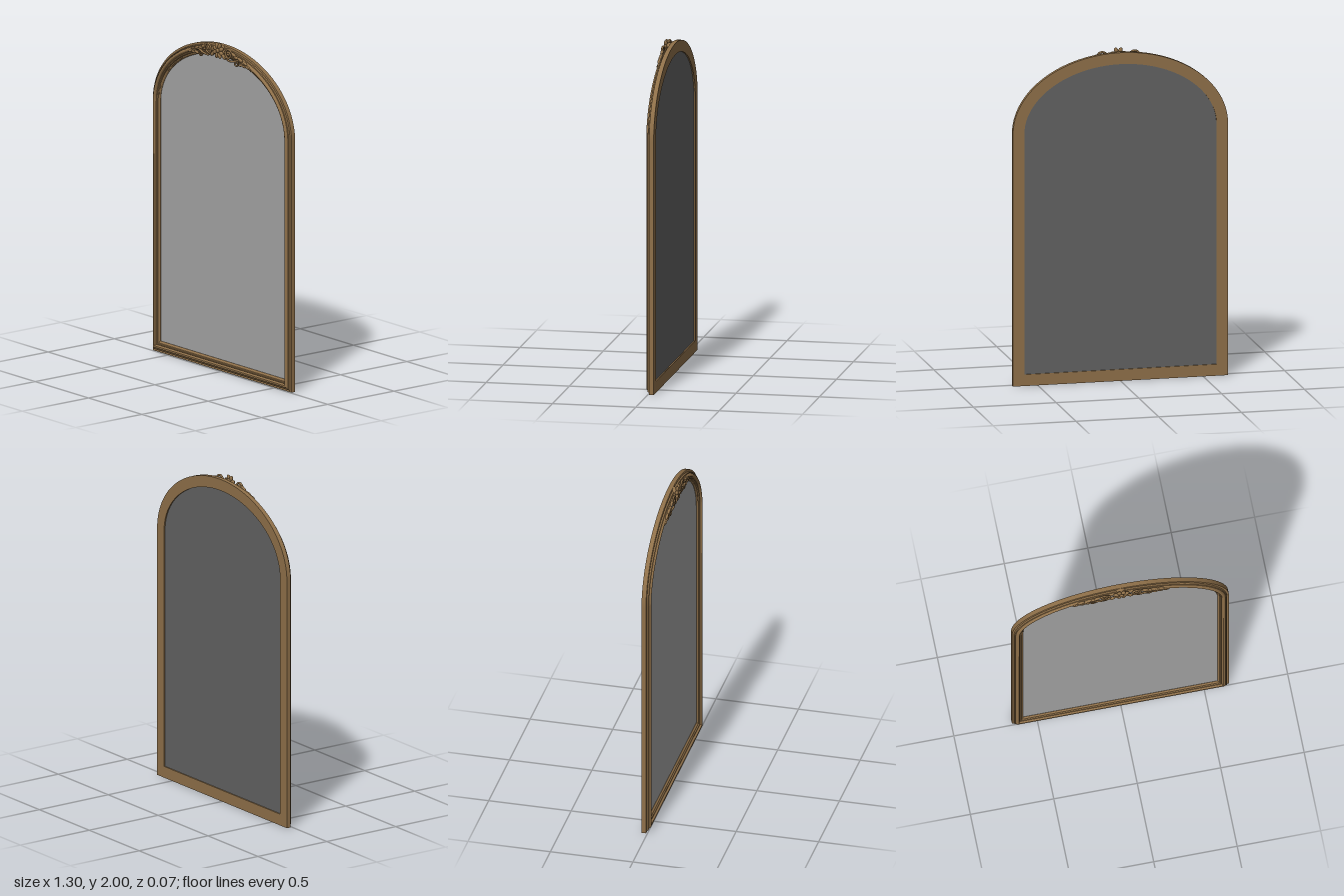
import * as THREE from 'three';
import { toCreasedNormals } from 'three/addons/utils/BufferGeometryUtils.js';

const W = 0.65, SPRING = 1.52, RISE = 0.46, ARC = 64;

// Closed outline (counterclockwise from the front), with inward mitre vectors
function outline() {
  const pts = [
    { x: -W, y: 0, nx: 1, ny: 1 },
    { x: W, y: 0, nx: -1, ny: 1 },
  ];
  for (let i = 0; i <= ARC; i++) {
    const a = (i / ARC) * Math.PI;
    const n = new THREE.Vector2(-Math.cos(a) / W, -Math.sin(a) / RISE).normalize();
    pts.push({ x: W * Math.cos(a), y: SPRING + RISE * Math.sin(a), nx: n.x, ny: n.y });
  }
  return pts;
}

// Sweep a closed [inset, z] profile around the outline
function sweepFrame(profile) {
  const path = outline(), n = path.length, m = profile.length;
  const pos = [], idx = [];
  for (const p of path) {
    for (const [d, z] of profile) pos.push(p.x + p.nx * d, p.y + p.ny * d, z);
  }
  for (let i = 0; i < n; i++) {
    for (let j = 0; j < m; j++) {
      const i2 = (i + 1) % n, j2 = (j + 1) % m;
      const a = i * m + j, b = i2 * m + j, c = i2 * m + j2, d = i * m + j2;
      idx.push(a, b, c, a, c, d);
    }
  }
  const g = new THREE.BufferGeometry();
  g.setAttribute('position', new THREE.Float32BufferAttribute(pos, 3));
  g.setIndex(idx);
  return toCreasedNormals(g, 0.35);
}

// Flat pane with the frame outline, inset by d
function paneGeometry(d) {
  const pts = outline().map((p) => new THREE.Vector2(p.x + p.nx * d, p.y + p.ny * d));
  return new THREE.ShapeGeometry(new THREE.Shape(pts));
}

// Height of the moulding's centre line at x
const crestY = (x) => SPRING + 0.425 * Math.sqrt(1 - (x / 0.615) ** 2);

export function createModel() {
  const wood = new THREE.MeshStandardMaterial({ color: 0x8f7049 });
  wood.name = 'antique gold';
  const silver = new THREE.MeshStandardMaterial({ color: 0xa4a4a4 });
  silver.name = 'mirror grey';
  const backing = new THREE.MeshStandardMaterial({ color: 0x626262 });
  backing.name = 'backing grey';

  const model = new THREE.Group();
  model.name = 'archedMirror';
  const add = (parent, name, geo, mat, x = 0, y = 0, z = 0) => {
    const mesh = new THREE.Mesh(geo, mat);
    mesh.name = name;
    mesh.position.set(x, y, z);
    parent.add(mesh);
    return mesh;
  };

  // Moulded frame: back slab, step, groove, rounded bead, inner groove and lip
  add(model, 'frame', sweepFrame([
    [0, -0.036], [0, -0.009], [0.003, -0.007], [0.012, -0.007],
    [0.014, 0.002], [0.019, 0.004], [0.021, -0.001], [0.024, 0.008],
    [0.028, 0.013], [0.033, 0.015], [0.038, 0.014], [0.042, 0.010],
    [0.045, 0.001], [0.048, 0.004], [0.053, 0.003], [0.056, -0.004],
    [0.062, -0.006], [0.068, -0.013], [0.069, -0.036],
  ]), wood);

  // Mirror glass and its backing
  add(model, 'glass', paneGeometry(0.066), silver, 0, 0, -0.014);
  const back = paneGeometry(0.066);
  back.rotateY(Math.PI);
  add(model, 'backPanel', back, backing, 0, 0, -0.028);

  // Crest carving
  const crest = new THREE.Group();
  crest.name = 'crestOrnament';
  model.add(crest);

  const ball = new THREE.SphereGeometry(1, 14, 10);
  const leaf = (name, x, y, z, len, wid, angle, depth = 0.009) => {
    const m = add(crest, name, ball, wood, x, y, z);
    m.scale.set(len, wid, depth);
    m.rotation.z = angle;
  };
  const vine = (name, pts, r) => {
    const curve = new THREE.CatmullRomCurve3(pts.map((p) => new THREE.Vector3(...p)));
    add(crest, name, new THREE.TubeGeometry(curve, 40, r, 7), wood);
  };

  // Central flower
  const FY = 1.951;
  add(crest, 'flowerBase', new THREE.CylinderGeometry(0.026, 0.032, 0.03, 20).rotateX(Math.PI / 2), wood, 0, FY, 0.008);
  for (let i = 0; i < 8; i++) {
    const a = (i / 8) * Math.PI * 2 + Math.PI / 8;
    leaf('petal', Math.cos(a) * 0.031, FY + Math.sin(a) * 0.031, 0.021, 0.02, 0.0125, a, 0.010);
  }
  leaf('flowerHeart', 0, FY, 0.025, 0.013, 0.013, 0, 0.0105);

  // Scrolls and leaves on both sides
  for (const s of [-1, 1]) {
    const turn = (a) => (s > 0 ? a : Math.PI - a);

    // Large volute beside the flower, its tail running down the arch
    const volute = [];
    for (let i = 0; i <= 18; i++) {
      const a = -0.4 + (i / 18) * Math.PI * 3;
      const r = 0.009 + 0.025 * (i / 18);
      volute.push([s * (0.095 - Math.cos(a) * r), 1.945 + Math.sin(a) * r, 0.021]);
    }
    vine('volute', volute, 0.0065);
    leaf('voluteEye', s * 0.095, 1.945, 0.021, 0.010, 0.010, 0);
    vine('scrollStem', [
      [s * 0.065, 1.925, 0.019], [s * 0.10, 1.908, 0.02], [s * 0.145, 1.913, 0.02],
      [s * 0.185, 1.925, 0.018], [s * 0.23, 1.912, 0.015], [s * 0.285, 1.896, 0.012],
    ], 0.0065);

    // Small curl hanging towards the glass
    const curl = [];
    for (let i = 0; i <= 12; i++) {
      const a = (i / 12) * Math.PI * 2.3;
      const r = 0.019 - 0.012 * (i / 12);
      curl.push([s * (0.168 - Math.cos(a) * r), 1.906 - Math.sin(a) * r, 0.018]);
    }
    vine('curl', curl, 0.005);

    // Leaves: [x, offset from centre line, length, width, angle]
    for (const [x, dy, len, wid, a] of [
      [0.052, -0.02, 0.022, 0.011, -0.7],
      [0.140, 0.018, 0.026, 0.010, -0.35],
      [0.165, 0.008, 0.024, 0.009, -0.1],
      [0.200, 0.010, 0.026, 0.009, -0.4],
      [0.205, -0.020, 0.022, 0.008, 0.25],
      [0.235, -0.014, 0.022, 0.008, -0.05],
      [0.240, 0.008, 0.024, 0.007, -0.45],
      [0.268, -0.006, 0.024, 0.007, -0.35],
    ]) {
      leaf('leaf', s * x, crestY(x) + dy, 0.023 - x * 0.035, len, wid, turn(a));
    }
  }
  return model;
}
